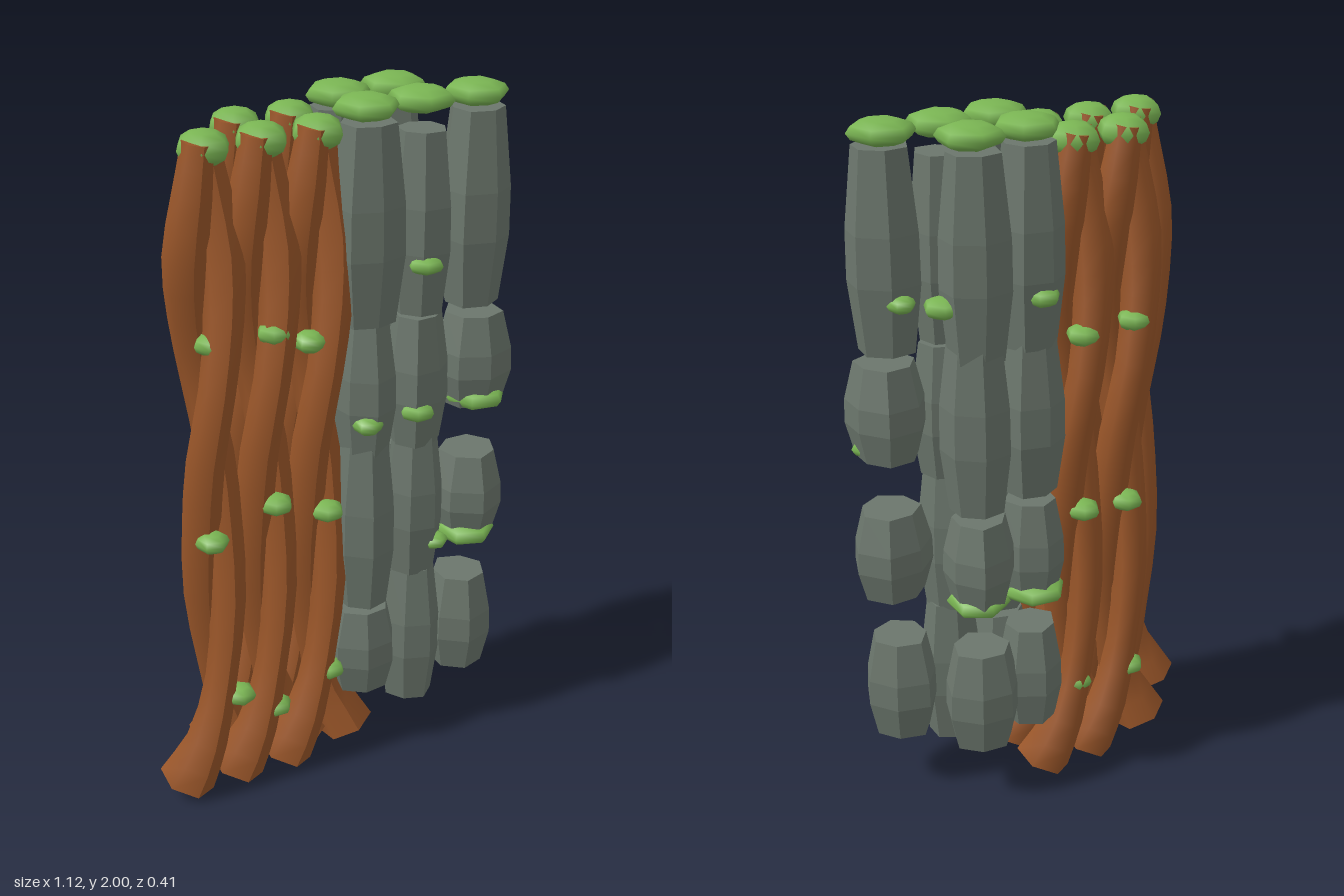
import * as THREE from 'three';

const bark = new THREE.MeshStandardMaterial({ color: 0x9a5629 });
const stone = new THREE.MeshStandardMaterial({ color: 0x6b766c });
const moss = new THREE.MeshStandardMaterial({ color: 0x7ab553 });
bark.name = 'bark brown';
stone.name = 'stone grey';
moss.name = 'moss green';
stone.flatShading = true;

function add(parent, name, geometry, material) {
  const mesh = new THREE.Mesh(geometry, material);
  mesh.name = name;
  parent.add(mesh);
  return mesh;
}

// Flattened six-sided cushion of moss
function mossPad(parent, name, x, y, z, r, h) {
  const pad = add(parent, name, new THREE.SphereGeometry(1, 6, 6), moss);
  pad.position.set(x, y, z);
  pad.scale.set(r, h, r);
  pad.rotation.y = x * 9;
}

// One vine strand: height, distance from the axis, thickness
const strandKeys = [
  [0.038, 0.115, 0.084], [0.18, 0.075, 0.06], [0.38, 0.045, 0.046], [0.62, 0.04, 0.051],
  [0.85, 0.034, 0.054], [1.06, 0.042, 0.053], [1.27, 0.052, 0.05], [1.46, 0.05, 0.054],
  [1.63, 0.049, 0.06], [1.8, 0.038, 0.052], [1.936, 0.03, 0.042],
];

function strandGeometry(phase) {
  const path = new THREE.CatmullRomCurve3(strandKeys.map(([y, d]) => {
    const a = phase - (y / 1.67) * Math.PI * 2;
    return new THREE.Vector3(d * Math.cos(a), y, d * Math.sin(a));
  }));
  const thickness = new THREE.SplineCurve(strandKeys.map(([y, , r]) => new THREE.Vector2(y, r)));
  const geo = new THREE.CylinderGeometry(1, 1, 1, 6, 20);
  const pos = geo.attributes.position;
  for (let i = 0; i < pos.count; i++) {
    const t = THREE.MathUtils.clamp(pos.getY(i) + 0.5, 0, 1);
    const tangent = path.getTangent(t);
    const side = new THREE.Vector3(1, 0, 0).addScaledVector(tangent, -tangent.x).normalize();
    const front = side.clone().cross(tangent);
    const r = thickness.getPoint(t).y;
    const p = path.getPoint(t)
      .addScaledVector(side, pos.getX(i) * r)
      .addScaledVector(front, pos.getZ(i) * r);
    pos.setXYZ(i, p.x, p.y, p.z);
  }
  geo.computeVertexNormals();
  return geo;
}

// Irregular faceted block, wide at the waist
function rock(parent, x, z, y0, y1, r, seed) {
  const h = y1 - y0;
  const profile = [[0, 0], [0.78, 0], [1, 0.35], [0.98, 0.6], [0.74, 1], [0, 1]]
    .map(([px, py]) => new THREE.Vector2(px * r, y0 + py * h));
  const geo = new THREE.LatheGeometry(profile, 7);
  const pos = geo.attributes.position;
  for (let i = 0; i < pos.count; i++) {
    const px = pos.getX(i), pz = pos.getZ(i);
    const a = Math.atan2(pz, px);
    const k = 1.01 + 0.05 * Math.sin(3 * a + seed * 1.7) + 0.03 * Math.cos(2 * a + seed);
    pos.setXYZ(i, px * k, pos.getY(i), pz * k);
  }
  geo.computeVertexNormals();
  const block = add(parent, 'rock', geo, stone);
  block.position.set(x, 0, z);
  block.rotation.y = seed * 0.8;
}

export function createModel() {
  const model = new THREE.Group();
  model.name = 'vines and rocks';

  // Five twisted vine pairs in two rows, each with moss tufts as x shift and height
  const strands = [strandGeometry(Math.PI), strandGeometry(0)];
  const vines = [
    [-0.37, 0.08, [[0, 1.4], [-0.025, 0.83], [0.045, 0.31]]],
    [-0.21, 0.08, [[0.01, 1.41], [0.01, 0.9], [0, 0.235]]],
    [-0.05, 0.08, [[-0.045, 1.365], [0.01, 0.84], [0.015, 0.31]]],
    [-0.21, -0.08, [[0, 1.4], [0.01, 0.85], [-0.01, 0.29]]],
    [-0.05, -0.08, [[0.01, 1.39], [0, 0.86], [0.02, 0.3]]],
  ];
  vines.forEach(([x, z, tufts], i) => {
    const vine = new THREE.Group();
    vine.name = 'twistedVine';
    vine.position.set(x, 0, z);
    strands.forEach((g) => add(vine, 'vineStrand', g, bark));
    mossPad(vine, 'vineMossCap', 0.008, 1.914, 0, 0.074, 0.047);
    tufts.forEach(([dx, y]) => {
      const depth = i === 0 && y === 1.4 ? 0.03 : 0.055;
      mossPad(vine, 'vineMoss', dx, y, Math.sign(z) * depth, 0.048, 0.03);
    });
    model.add(vine);
  });

  // Rock stacks: x, z, then blocks as bottom, top, radius, x shift
  const stacks = [
    [0.095, 0.1, [[1.38, 1.93, 0.1], [0.99, 1.38, 0.09], [0.5, 1.02, 0.097], [0.21, 0.48, 0.103]]],
    [0.265, 0.09, [[1.38, 1.89, 0.09], [0.98, 1.37, 0.09], [0.56, 1.01, 0.087], [0.12, 0.57, 0.092]]],
    [0.435, 0.09,
      [[1.38, 1.93, 0.103], [1.07, 1.345, 0.108, 0.012], [0.65, 0.91, 0.112, 0.014], [0.19, 0.5, 0.107]]],
    [0.1, -0.085, [[1.38, 1.93, 0.095], [0.95, 1.4, 0.095], [0.62, 0.92, 0.095], [0.21, 0.52, 0.1]]],
    [0.275, -0.097, [[1.38, 1.93, 0.097], [0.94, 1.45, 0.097], [0.65, 0.91, 0.102], [0.19, 0.5, 0.107]]],
  ];
  stacks.forEach(([x, z, blocks], i) => {
    const stack = new THREE.Group();
    stack.name = 'rockStack';
    blocks.forEach(([y0, y1, r, dx = 0], j) => rock(stack, x + dx, z, y0, y1, r, i * 4 + j));
    mossPad(stack, 'rockMossCap', x, 1.965, z * 0.88, 0.092, 0.035);
    model.add(stack);
  });

  // Moss growing on the rock ledges: x, y, z, radius, height
  [
    [0.25, 1.53, 0.15, 0.052, 0.027], [0.36, 1.53, -0.08, 0.056, 0.029],
    [0.44, 1.53, 0, 0.04, 0.024], [0.1, 1.53, -0.145, 0.052, 0.028],
    [0.07, 1.095, 0.165, 0.044, 0.028], [0.24, 1.095, 0.145, 0.052, 0.03],
    [0.45, 1.093, 0.118, 0.09, 0.036], [0.43, 0.658, 0.123, 0.09, 0.036],
    [0.31, 0.66, 0.145, 0.042, 0.024], [0.285, 0.655, -0.105, 0.09, 0.035],
    [0.1, 0.64, -0.11, 0.09, 0.035],
  ].forEach((p) => mossPad(model, 'rockMoss', ...p));

  return model;
}
